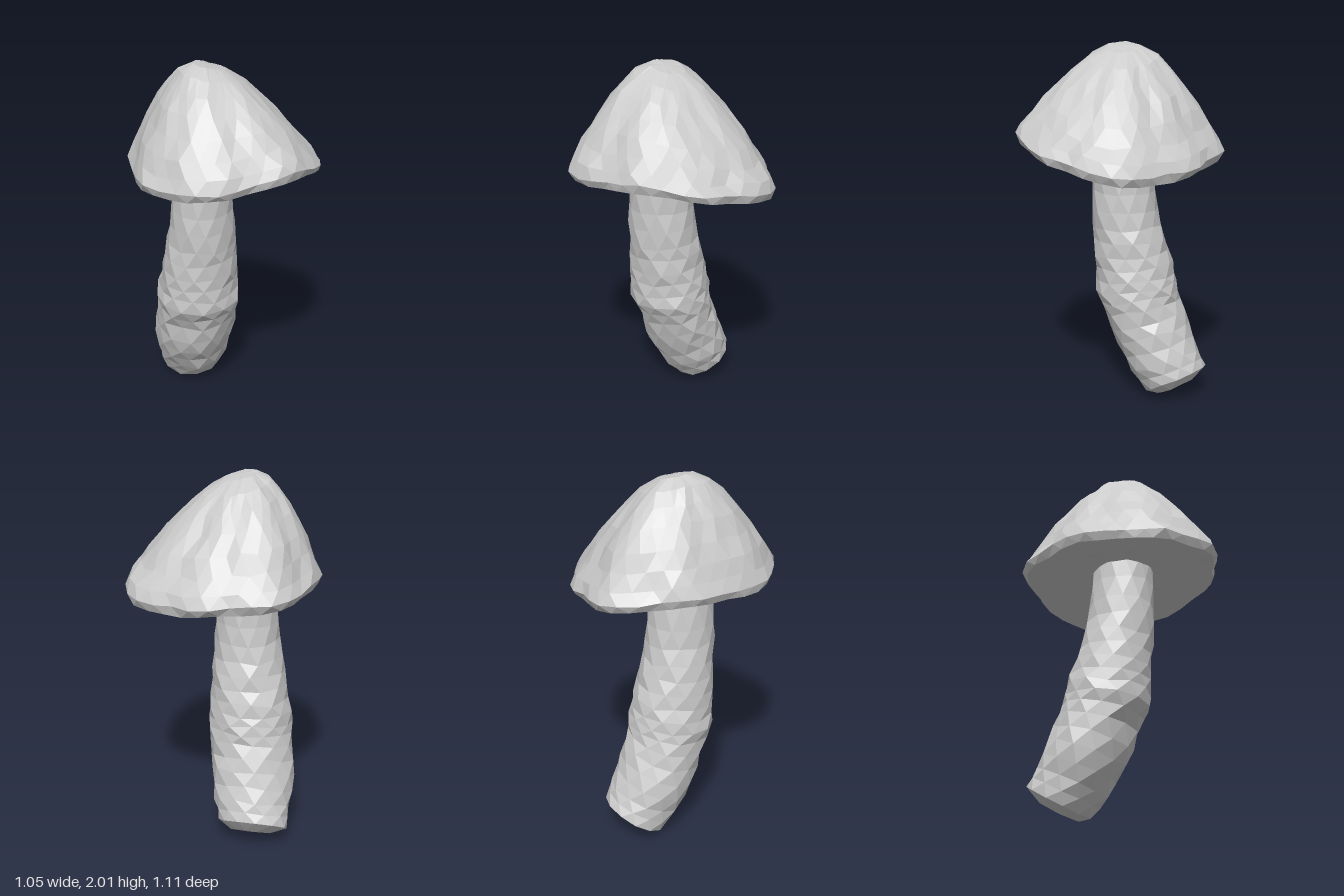
import * as THREE from 'three';

const material = new THREE.MeshStandardMaterial({ color: 0xcccccc, flatShading: true });

// Small seeded generator for the hand-carved unevenness
function seeded(seed) {
  return () => {
    seed = (seed * 16807) % 2147483647;
    return (seed / 2147483647) * 2 - 1;
  };
}

// Skin a stack of closed rings (bottom to top) and close both ends with fans;
// every second ring is turned by half a step
function loft(rings, bottom, top) {
  const n = rings[0].length;
  const points = [...rings.flat(), bottom, top];
  const low = points.length - 2, high = points.length - 1, last = (rings.length - 1) * n;
  const index = [];
  for (let j = 0; j < n; j++) {
    const k = (j + 1) % n;
    index.push(low, j, k, high, last + k, last + j);
    for (let i = 0; i < rings.length - 1; i++) {
      const a = i * n + j, b = i * n + k, c = a + n, d = b + n;
      if (i % 2 === 0) index.push(a, c, b, b, c, d);
      else index.push(a, c, d, a, d, b);
    }
  }
  const geometry = new THREE.BufferGeometry().setFromPoints(points);
  geometry.setIndex(index);
  geometry.computeVertexNormals();
  return geometry;
}

// Bent stem: sections of centre x, y, z, half width, half depth, forward tilt
function createStem() {
  const sections = [
    [-0.215, 0.055, -0.295, 0.11, 0.11, 0.5],
    [-0.23, 0.10, -0.293, 0.19, 0.18, 0.52],
    [-0.21, 0.20, -0.225, 0.208, 0.20, 0.46],
    [-0.19, 0.36, -0.15, 0.225, 0.212, 0.38],
    [-0.165, 0.52, -0.095, 0.228, 0.212, 0.28],
    [-0.155, 0.64, -0.055, 0.235, 0.225, 0.15],
    [-0.15, 0.70, -0.05, 0.225, 0.22, 0.1],
    [-0.14, 0.84, -0.028, 0.21, 0.212, 0.08],
    [-0.125, 1.00, -0.005, 0.188, 0.195, 0.04],
    [-0.115, 1.20, 0.01, 0.17, 0.18, 0],
    [-0.105, 1.46, 0.017, 0.152, 0.167, 0],
  ];
  const rand = seeded(71), sides = 12, rings = [];
  const addRing = ([cx, cy, cz, rx, rz, tilt], rough) => {
    const ring = [];
    for (let j = 0; j < sides; j++) {
      const a = ((j + (rings.length % 2) / 2) / sides) * Math.PI * 2;
      const r = 1.01 + rand() * rough, s = Math.sin(a) * rz * r;
      ring.push(new THREE.Vector3(
        cx + Math.cos(a) * rx * r,
        Math.max(0, cy - Math.sin(tilt) * s + rand() * rough * 0.25),
        cz + Math.cos(tilt) * s));
    }
    rings.push(ring);
  };
  sections.forEach((section, i) => {
    const rough = i > 1 && i < 9 ? 0.045 : 0.02;
    addRing(section, rough);
    const next = sections[i + 1];
    if (next && i !== 0 && i !== 5) addRing(section.map((v, k) => (v + next[k]) / 2), rough);
  });
  const end = sections[sections.length - 1];
  return loft(rings, new THREE.Vector3(-0.215, 0.05, -0.3), new THREE.Vector3(...end.slice(0, 3)));
}

// Cap: uneven rim, nearly flat underside, lopsided dome
function createCap() {
  // Rim points: x, height of the lower edge, z
  const rim = [
    [0.525, 1.43, -0.015], [0.50, 1.46, 0.13], [0.435, 1.50, 0.285], [0.365, 1.50, 0.375],
    [0.22, 1.47, 0.44], [0.06, 1.445, 0.53], [-0.05, 1.445, 0.555], [-0.285, 1.425, 0.46],
    [-0.395, 1.43, 0.36], [-0.49, 1.43, 0.10], [-0.53, 1.44, -0.045], [-0.48, 1.42, -0.28],
    [-0.44, 1.41, -0.42], [-0.34, 1.40, -0.505], [-0.15, 1.38, -0.53], [0.01, 1.36, -0.56],
    [0.18, 1.355, -0.50], [0.26, 1.355, -0.485], [0.40, 1.36, -0.42], [0.485, 1.385, -0.28],
    [0.50, 1.415, -0.13],
  ].map((p) => new THREE.Vector3(...p));
  const curve = new THREE.CatmullRomCurve3(rim, true);
  const rand = seeded(1234), steps = 32, rings = [];
  const jitter = (v, amount) => v.add(new THREE.Vector3(rand(), rand(), rand()).multiplyScalar(amount));
  const addRing = (place) => {
    const shift = (rings.length % 2) / 2;
    rings.push(Array.from({ length: steps }, (_, j) => place(curve.getPointAt((j + shift) / steps))));
  };
  const under = new THREE.Vector3(-0.08, 1.425, 0.01);
  const apex = new THREE.Vector3(-0.09, 2, -0.01);

  // Underside, out to the lower edge of the rim
  for (const t of [0.35, 0.68]) addRing((p) => jitter(under.clone().lerp(p, t), 0.008));
  addRing((p) => jitter(new THREE.Vector3(p.x * 0.965, p.y, p.z * 0.965), 0.007));

  // Dome, from the widest line up: distance from apex, height fraction
  const profile = [
    [1, 0], [0.94, 0.11], [0.85, 0.245], [0.74, 0.41], [0.61, 0.58],
    [0.48, 0.73], [0.34, 0.87], [0.17, 0.975],
  ];
  for (const [t, h] of profile) {
    addRing((p) => {
      const wide = p.y + 0.045, a = Math.atan2(p.z, p.x);
      const bulge = Math.sin(Math.PI * t) * (0.01 + 0.02 * Math.sin(a) - 0.035 * Math.cos(a));
      const v = new THREE.Vector3(
        THREE.MathUtils.lerp(apex.x, p.x, t),
        wide + (2 - wide) * h + bulge,
        THREE.MathUtils.lerp(apex.z, p.z, t));
      return jitter(v, t === 1 ? 0.006 : 0.001 + 0.011 * t);
    });
  }
  return loft(rings, under, apex);
}

export function createModel() {
  const model = new THREE.Group();
  model.name = 'mushroom';
  for (const [name, geometry] of [['stem', createStem()], ['cap', createCap()]]) {
    const mesh = new THREE.Mesh(geometry, material);
    mesh.name = name;
    model.add(mesh);
  }
  return model;
}
